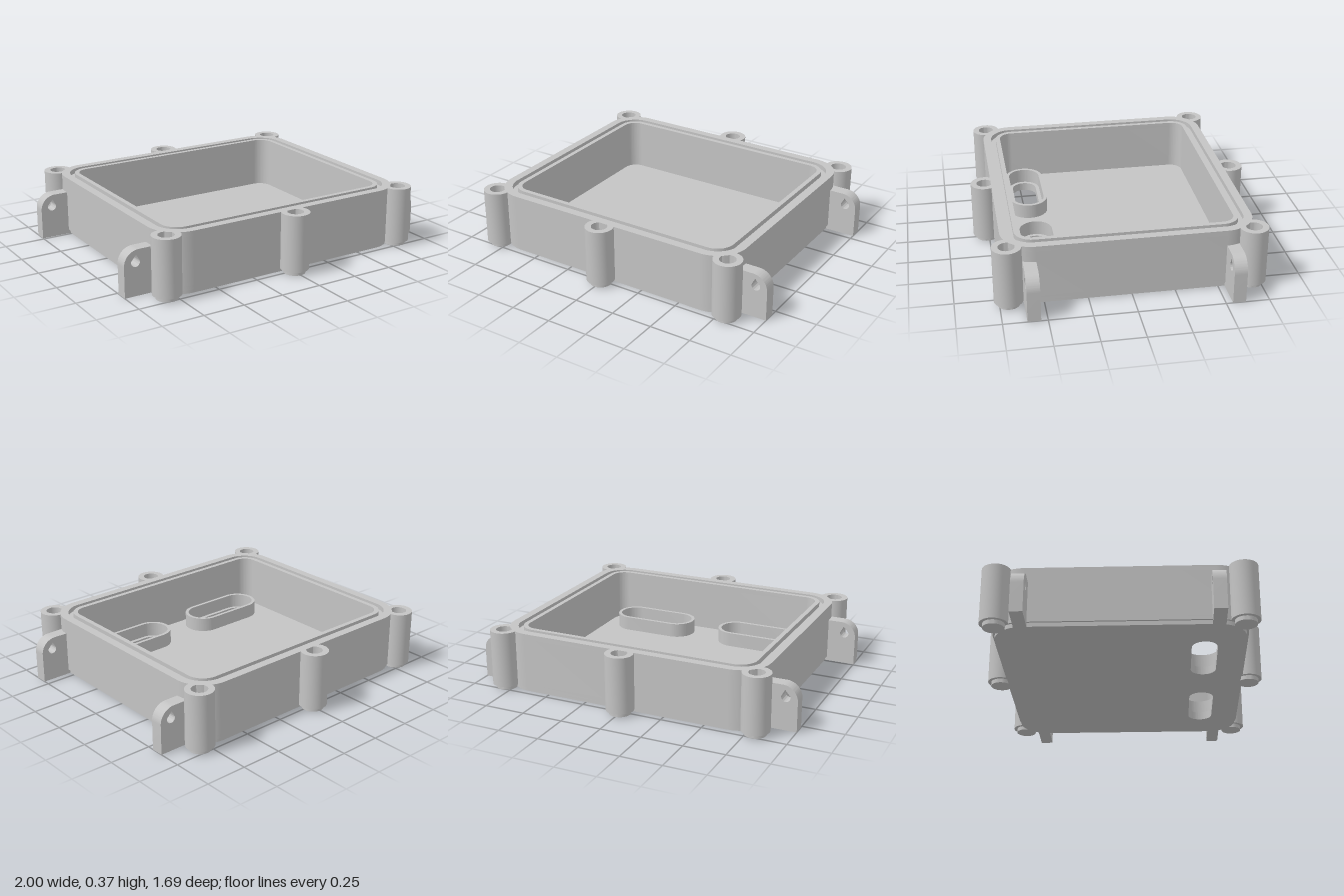
import * as THREE from 'three';
import { toCreasedNormals } from 'three/addons/utils/BufferGeometryUtils.js';

const HALF_X = 0.825, HALF_Z = 0.724, CORNER = 0.185;
const TOP = 0.365, FLOOR = 0.05, FOOT = 0.025, GROOVE_Y = 0.335;

// Rounded rectangle centred on (cx, cy)
function roundedRect(Type, cx, cy, hx, hy, r) {
  const p = new Type();
  p.absarc(cx + hx - r, cy + hy - r, r, 0, Math.PI / 2);
  p.absarc(cx - hx + r, cy + hy - r, r, Math.PI / 2, Math.PI);
  p.absarc(cx - hx + r, cy - hy + r, r, Math.PI, Math.PI * 1.5);
  p.absarc(cx + hx - r, cy - hy + r, r, Math.PI * 1.5, Math.PI * 2);
  p.closePath();
  return p;
}

// Case outline moved inward by a distance
const outline = (Type, inset) =>
  roundedRect(Type, 0, 0, HALF_X - inset, HALF_Z - inset, CORNER - inset);

// Cable slot outline grown outward by a distance
const slot = (Type, side, grow) =>
  roundedRect(Type, side * 0.3665, -0.479, 0.2275 + grow, 0.075 + grow, 0.0749 + grow);

export function createModel() {
  const group = new THREE.Group();
  const grey = new THREE.MeshStandardMaterial({ color: 0xc4c4c4 });
  grey.name = 'light grey plastic';

  function add(name, geometry) {
    const mesh = new THREE.Mesh(geometry, grey);
    mesh.name = name;
    group.add(mesh);
    return mesh;
  }

  // Horizontal slab between two heights, drawn in plan
  function slab(name, shape, holes, y0, y1) {
    shape.holes.push(...holes);
    const g = new THREE.ExtrudeGeometry(shape, { depth: y1 - y0, bevelEnabled: false, curveSegments: 16 });
    g.rotateX(-Math.PI / 2).translate(0, y0, 0);
    return add(name, toCreasedNormals(g, 0.5));
  }

  const slots = () => [-1, 1].map((s) => slot(THREE.Path, s, 0));

  // Tray: inset underside, floor, wall and grooved rim
  slab('undersidePlate', outline(THREE.Shape, 0.012), slots(), 0, FOOT);
  slab('floor', outline(THREE.Shape, 0), slots(), FOOT, FLOOR);
  slab('wall', outline(THREE.Shape, 0), [outline(THREE.Path, 0.108)], FLOOR, GROOVE_Y);
  slab('outerLip', outline(THREE.Shape, 0), [outline(THREE.Path, 0.05)], GROOVE_Y, TOP);
  slab('innerLip', outline(THREE.Shape, 0.08), [outline(THREE.Path, 0.108)], GROOVE_Y, TOP);

  // Raised collars around the cable slots
  for (const side of [-1, 1]) {
    slab('slotCollar', slot(THREE.Shape, side, 0.042), [slot(THREE.Path, side, 0.022)], FLOOR, 0.138);
  }

  // Screw bosses with a narrower foot and a blind hole
  const bossProfile = [
    [0, 0], [0.063, 0], [0.063, FOOT], [0.083, FOOT], [0.083, TOP], [0.047, TOP], [0.047, 0.06], [0, 0.06],
  ].map(([x, y]) => new THREE.Vector2(x, y));
  const bossGeometry = toCreasedNormals(new THREE.LatheGeometry(bossProfile, 40), 0.5);
  for (const sz of [-1, 1]) {
    for (const sx of [-1, 0, 1]) {
      add('screwBoss', bossGeometry).position.set(sx * 0.8, 0, sz * (sx ? 0.698 : 0.762));
    }
  }

  // Side mounting lugs with a rounded corner and a teardrop hole
  function lugGeometry(side) {
    const s = new THREE.Shape();
    s.moveTo(0.8, 0);
    s.lineTo(1, 0);
    s.absarc(0.91, 0.18, 0.09, 0, Math.PI / 2);
    s.lineTo(0.8, 0.27);
    s.closePath();
    const hole = new THREE.Path();
    hole.absarc(0.93, 0.197, 0.027, Math.PI * 0.95, Math.PI * 2.1);
    hole.lineTo(0.925, 0.241);
    hole.closePath();
    s.holes.push(hole);
    const g = new THREE.ExtrudeGeometry(s, { depth: 0.075, bevelEnabled: false, curveSegments: 16 });
    g.translate(0, 0, -0.0375);
    if (side < 0) g.rotateY(Math.PI);
    return toCreasedNormals(g, 0.5);
  }
  for (const side of [-1, 1]) {
    const geometry = lugGeometry(side);
    const z = side > 0 ? 0.576 : 0.5505;
    for (const end of [-1, 1]) add('mountingLug', geometry).position.z = end * z;
  }

  return group;
}
